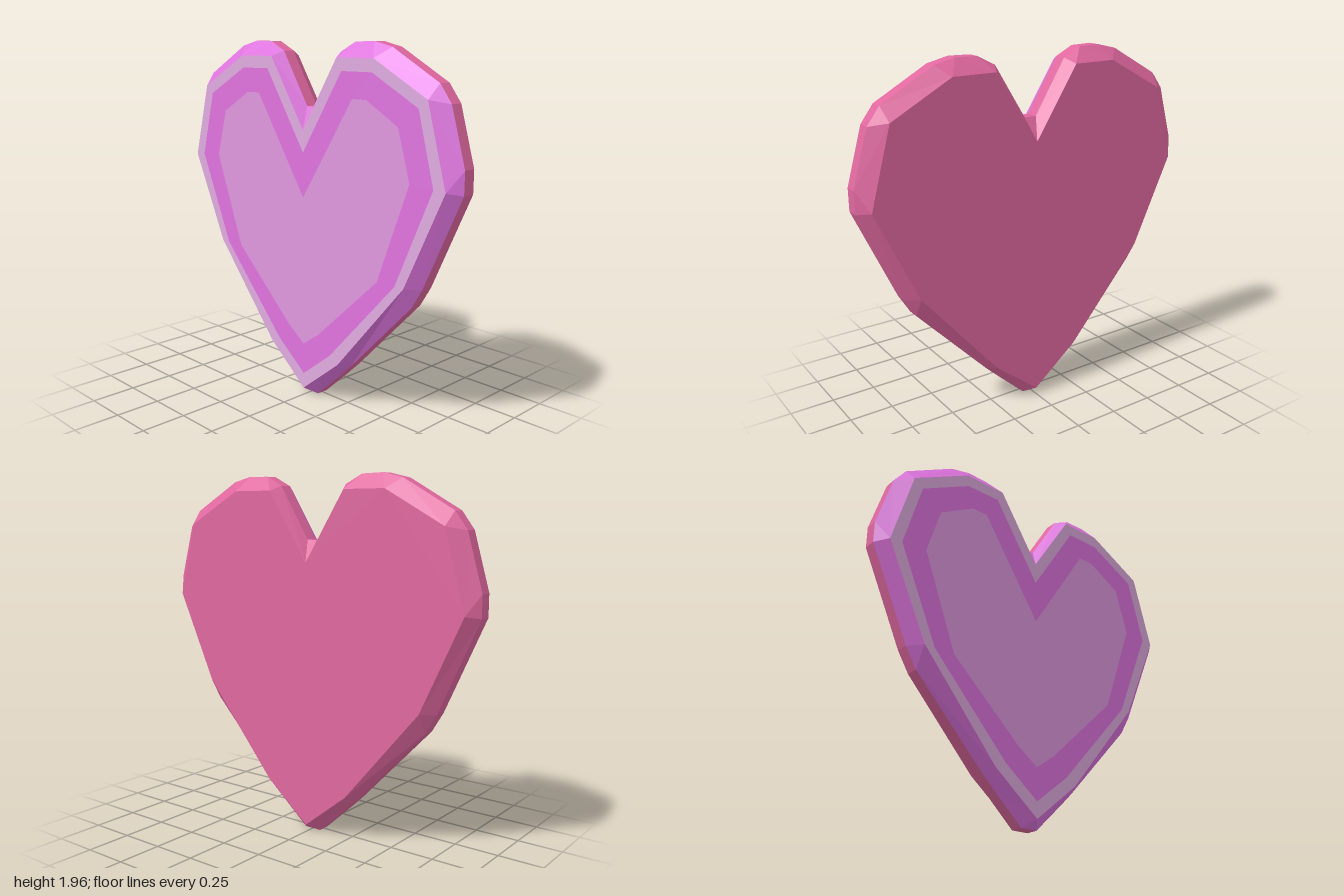
import * as THREE from 'three';

const paint = (name, color) => {
  const m = new THREE.MeshStandardMaterial({ color });
  m.name = name;
  return m;
};

// Right half of each heart contour, clockwise from the notch to the tip
const RIM = [[0, 1.5], [0.245, 1.88], [0.492, 1.88], [0.828, 1.7], [0.944, 1.283], [0.71, 0.78], [0.265, 0.254], [0, 0.04]];
const BAND = [[0, 1.38], [0.28, 1.814], [0.483, 1.813], [0.775, 1.658], [0.874, 1.29], [0.652, 0.778], [0.205, 0.29], [0, 0.128]];
const CORE = [[0, 1.137], [0.355, 1.68], [0.45, 1.68], [0.655, 1.562], [0.732, 1.3], [0.537, 0.778], [0.118, 0.388], [0, 0.305]];
// Outer edge: each rim corner is cut into two points
const CUTS = [
  [[-0.035, 1.62], [0.035, 1.62]], [[0.214, 1.907], [0.315, 1.957]],
  [[0.44, 1.96], [0.556, 1.933]], [[0.845, 1.773], [0.914, 1.682]],
  [[1, 1.388], [1, 1.27]], [[0.775, 0.773], [0.71, 0.666]],
  [[0.3, 0.235], [0.22, 0.158]], [[0.05, 0], [-0.05, 0]],
];
const FACE_Z = 0.1, EDGE_Z = 0.035;

const flip = ([x, y]) => [-x, y];
const fullLoop = half => [...half, ...half.slice(1, -1).reverse().map(flip)];
const fullCuts = [...CUTS, ...CUTS.slice(1, -1).reverse().map(([a, b]) => [flip(b), flip(a)])];
const toPoints = loop => loop.map(([x, y]) => new THREE.Vector2(x, y));

// Flat heart, optionally with a heart-shaped opening
function plate(half, holeHalf) {
  const shape = new THREE.Shape(toPoints(fullLoop(half)));
  if (holeHalf) shape.holes.push(new THREE.Path(toPoints(fullLoop(holeHalf))));
  return new THREE.ShapeGeometry(shape);
}

// Unshared corners keep every facet flat
function facets(triangles) {
  const g = new THREE.BufferGeometry();
  g.setAttribute('position', new THREE.Float32BufferAttribute(triangles.flat(2), 3));
  g.computeVertexNormals();
  return g;
}

// Faceted slope from the flat face to the outer edge; side is 1 or -1
function bevel(side) {
  const rim = fullLoop(RIM), n = rim.length, tris = [];
  const inner = p => [...p, side * FACE_Z], outer = p => [...p, side * EDGE_Z];
  const add = (a, b, c) => tris.push(side > 0 ? [a, b, c] : [a, c, b]);
  for (let i = 0; i < n; i++) {
    const j = (i + 1) % n;
    const [a, b] = fullCuts[i], next = fullCuts[j][0];
    add(inner(rim[i]), outer(b), outer(a));
    add(inner(rim[i]), inner(rim[j]), outer(next));
    add(inner(rim[i]), outer(next), outer(b));
  }
  return facets(tris);
}

// Upright wall around the middle
function wall() {
  const loop = fullCuts.flat(), tris = [];
  loop.forEach((p, i) => {
    const q = loop[(i + 1) % loop.length];
    const pf = [...p, EDGE_Z], qf = [...q, EDGE_Z], pb = [...p, -EDGE_Z], qb = [...q, -EDGE_Z];
    tris.push([pf, qf, qb], [pf, qb, pb]);
  });
  return facets(tris);
}

export function createModel() {
  const group = new THREE.Group();
  group.name = 'heartGem';
  const orchid = paint('orchid', 0xdf74df);
  const mauve = paint('mauve', 0xdf98df);
  const paleMauve = paint('paleMauve', 0xdfabdf);
  const rose = paint('rose', 0xe0689f);

  const add = (name, geometry, material, z = 0) => {
    const mesh = new THREE.Mesh(geometry, material);
    mesh.name = name;
    mesh.position.z = z;
    group.add(mesh);
    return mesh;
  };

  // Front face in three nested colours
  add('frontRim', plate(RIM, BAND), paleMauve, FACE_Z);
  add('frontBand', plate(BAND, CORE), orchid, FACE_Z);
  add('frontCore', plate(CORE), mauve, FACE_Z);

  // Edges and back
  add('frontBevel', bevel(1), orchid);
  add('sideWall', wall(), rose);
  add('backBevel', bevel(-1), rose);
  add('backFace', plate(RIM), rose, -FACE_Z).rotation.y = Math.PI;

  return group;
}
